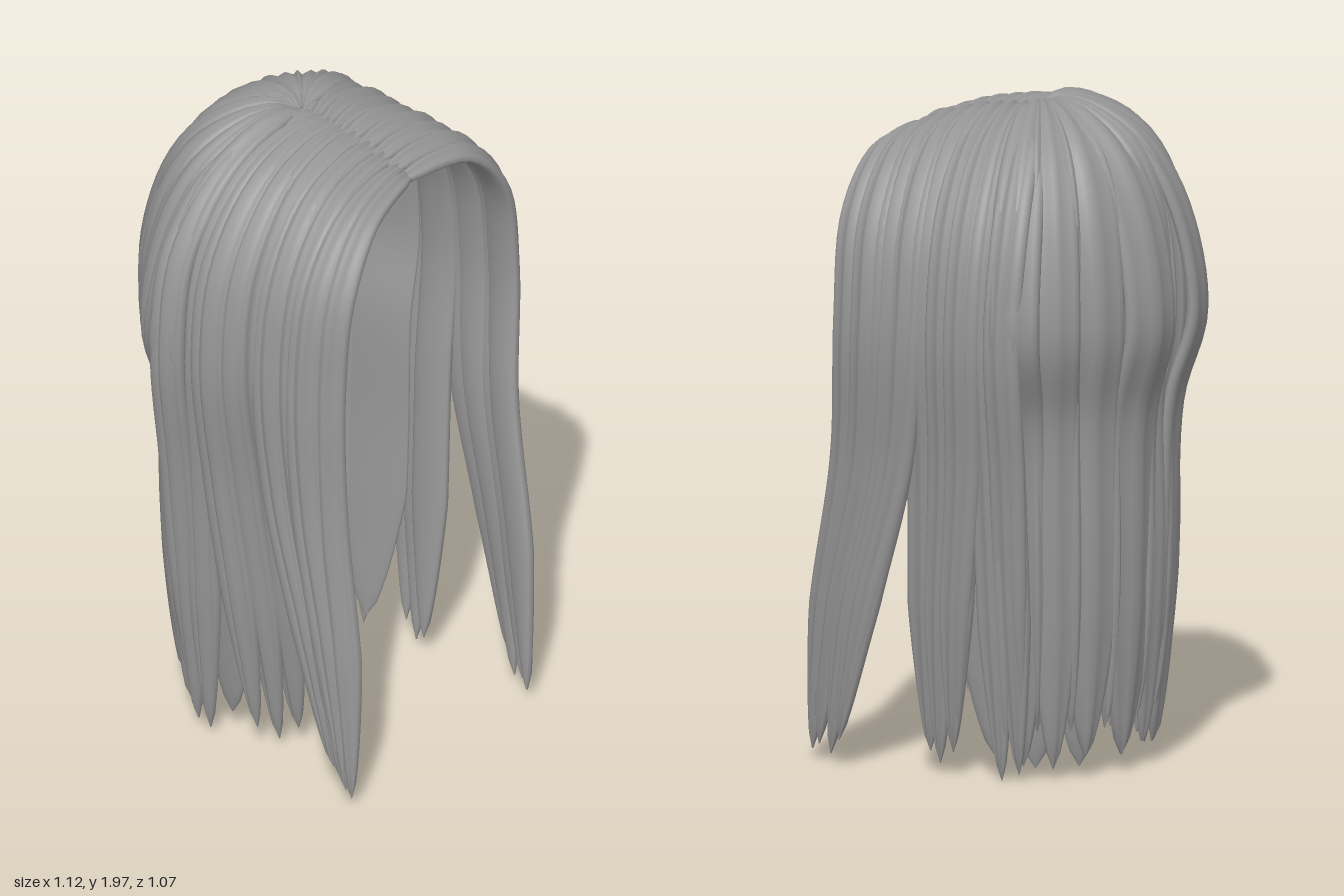
import * as THREE from 'three';

const hairGrey = new THREE.MeshStandardMaterial({ color: 0x969696 });
const lerp = THREE.MathUtils.lerp;

// Half-width along a lock: rounded root, full body, pointed tip
function widthAt(t) {
  const root = Math.sqrt(Math.min(1, t / 0.05)) * lerp(0.6, 1, THREE.MathUtils.smoothstep(t, 0, 0.25));
  const tip = Math.pow(Math.min(1, Math.max(0, 1 - t) / 0.2), 0.6);
  return Math.max(0.01, root * tip);
}

// A flattened, ribbed tube swept from the root over the head to the tip.
// wrap = how much the lock turns to follow the round of the head in z.
function lock(name, points, { width, thick, wrap = 1, ribs = 3, rib = 0.3 }) {
  const curve = new THREE.CatmullRomCurve3(points.map(p => new THREE.Vector3(...p)), false, 'centripetal');
  const rings = 44, sides = 24, pos = [], index = [];
  for (let i = 0; i <= rings; i++) {
    const t = i / rings, p = curve.getPointAt(t), tangent = curve.getTangentAt(t);
    const out = new THREE.Vector3(p.x, Math.max(0, p.y - 1.35), (p.z + 0.05) * wrap);
    const across = new THREE.Vector3().crossVectors(tangent, out).normalize();
    out.crossVectors(across, tangent).normalize();
    const s = widthAt(t), w = width * s, h = thick * Math.sqrt(s);
    for (let j = 0; j < sides; j++) {
      const a = j / sides * Math.PI * 2, u = Math.cos(a);
      let v = Math.sin(a);
      if (v > 0) v *= 1 + rib * Math.cos(u * Math.PI * ribs);
      else v *= 0.7;
      const q = p.clone().addScaledVector(across, u * w).addScaledVector(out, v * h);
      pos.push(q.x, q.y, q.z);
    }
  }
  for (let i = 0; i < rings; i++) for (let j = 0; j < sides; j++) {
    const k = (j + 1) % sides, a = i * sides, b = a + sides;
    index.push(a + j, b + j, a + k, a + k, b + j, b + k);
  }
  const geo = new THREE.BufferGeometry();
  geo.setAttribute('position', new THREE.Float32BufferAttribute(pos, 3));
  geo.setIndex(index);
  geo.computeVertexNormals();
  const mesh = new THREE.Mesh(geo, hairGrey);
  mesh.name = name;
  return mesh;
}

// Height of the crown along the parting
const crownY = z => 1.99 - 0.8 * Math.pow(Math.max(0, z + 0.06), 2);

// Path from the parting, over the shoulder of the head, down one side
function sidePath(s, rootZ, sideZ, sideX, tip, lift = 0) {
  const [tx, ty, tz] = tip, top = crownY(rootZ) - 0.035 + lift;
  const drop = 0.085 - 0.13 * Math.max(0, sideZ);
  return [
    [-0.05 * s, top - 0.012, rootZ + 0.005],
    [s * sideX * 0.22, top - drop * 0.12, lerp(rootZ, sideZ, 0.4)],
    [s * sideX * 0.58, top - drop, lerp(rootZ, sideZ, 0.75)],
    [s * (sideX * 0.89 + lift), 1.66, sideZ],
    [s * (sideX + lift), 1.36, sideZ],
    [s * (lerp(sideX, tx, 0.32) + lift), 0.95, lerp(sideZ, tz, 0.17)],
    [s * (lerp(sideX, tx, 0.65) + lift), 0.5, lerp(sideZ, tz, 0.65)],
    [s * tx, ty, tz],
  ];
}

// Path radiating from the crown and falling down the back
function backPath(deg, bulge, tipY, scale = 1) {
  const a = deg * Math.PI / 180;
  const profile = [[0.01, 1.965], [0.14, 1.95], [0.28, 1.86], [0.385 * lerp(1, bulge, 0.5), 1.68],
    [0.44 * bulge, 1.36], [0.375 + 0.15 * (bulge - 1), 1.1], [0.36, 0.7], [0.345, 0.35], [0.325, tipY]];
  return profile.map(([r, y]) => {
    const spread = lerp(1.1, 1.15, THREE.MathUtils.smoothstep(y, 0.3, 1.3));
    return [Math.sin(a) * r * spread * scale, y - (1 - scale) * (y > 1.6 ? 0.3 : 0), -0.08 - Math.cos(a) * r * scale];
  });
}

export function createModel() {
  const wig = new THREE.Group();
  wig.name = 'longHair';

  // Side locks, front to back: root z, side z, side x, half-width, then tip on the left and on the right
  const sideLocks = [
    [0.275, 0.325, 0.445, 0.058, [0.30, 0.05, 0.51], [0.50, 0.05, 0.45]],
    [0.23, 0.26, 0.47, 0.056, [0.32, 0.07, 0.48], [0.50, 0.07, 0.43]],
    [0.18, 0.20, 0.462, 0.056, [0.35, 0.05, 0.43], [0.45, 0.06, 0.38]],
    [0.13, 0.14, 0.472, 0.058, [0.38, 0.10, 0.39], [0.45, 0.10, 0.35]],
    [0.08, 0.085, 0.46, 0.066, [0.33, 0.08, 0.12], [0.30, 0.08, 0.12]],
    [0.04, 0.01, 0.487, 0.056, [0.35, 0.05, 0.08], [0.34, 0.05, 0.08]],
    [0.00, -0.055, 0.505, 0.056, [0.37, 0.09, 0.03], [0.38, 0.09, 0.03]],
    [-0.03, -0.12, 0.488, 0.056, [0.38, 0.02, -0.13], [0.39, 0.04, -0.13]],
    [-0.06, -0.19, 0.52, 0.056, [0.37, 0.04, -0.18], [0.38, 0.05, -0.18]],
  ];
  for (const s of [1, -1]) {
    const group = new THREE.Group();
    group.name = s > 0 ? 'leftSideLocks' : 'rightSideLocks';
    sideLocks.forEach(([rz, z, x, width, left, right], i) => {
      const tip = s > 0 ? left : right;
      // The two sides are staggered so that they interlace at the parting
      const rootZ = i && s < 0 ? rz + 0.018 : rz;
      group.add(lock('sideLock', sidePath(s, rootZ, z, x, tip), { width, thick: 0.03, wrap: 0.25, ribs: 2 }));
      // Thin strand lying over the seam behind each lock
      const strandTip = [tip[0] + 0.01, tip[1] + 0.06 + 0.04 * (i % 3), tip[2] - 0.02];
      group.add(lock('sideStrand', sidePath(s, rootZ - 0.022, z - 0.034, x, strandTip, 0.006),
        { width: 0.026, thick: 0.02, wrap: 0.25, rib: 0 }));
    });
    wig.add(group);
  }

  // Outer back locks: angle from straight back, bulge, tip height, half-width
  const back = new THREE.Group();
  back.name = 'backLocks';
  const backLocks = [[0, 0.86, 0.09, 0.075], [18, 1.01, 0.07, 0.1], [40, 0.94, 0.08, 0.09],
    [57, 0.98, 0.05, 0.075], [72, 1.05, 0.06, 0.075]];
  for (const [deg, bulge, tipY, width] of backLocks)
    for (const s of deg ? [1, -1] : [1])
      back.add(lock('backLock', backPath(s * deg, bulge, tipY), { width, thick: 0.036, ribs: 2, rib: 0.2 }));
  // Narrow strands filling the seams between the back locks
  for (const deg of [9, 29, 48, 65])
    for (const s of [1, -1])
      back.add(lock('backStrand', backPath(s * deg, 0.9, 0.16), { width: 0.045, thick: 0.034, ribs: 2 }));
  wig.add(back);

  // Broad smooth panels lining the inside
  const lining = new THREE.Group();
  lining.name = 'innerPanels';
  for (const [deg, tipY] of [[15, 0.07], [42, 0.05], [66, 0.05], [88, 0.08]])
    for (const s of [1, -1])
      lining.add(lock('innerPanel', backPath(s * deg, 0.92, tipY, 0.94), { width: 0.118, thick: 0.024, rib: 0 }));
  wig.add(lining);
  return wig;
}
